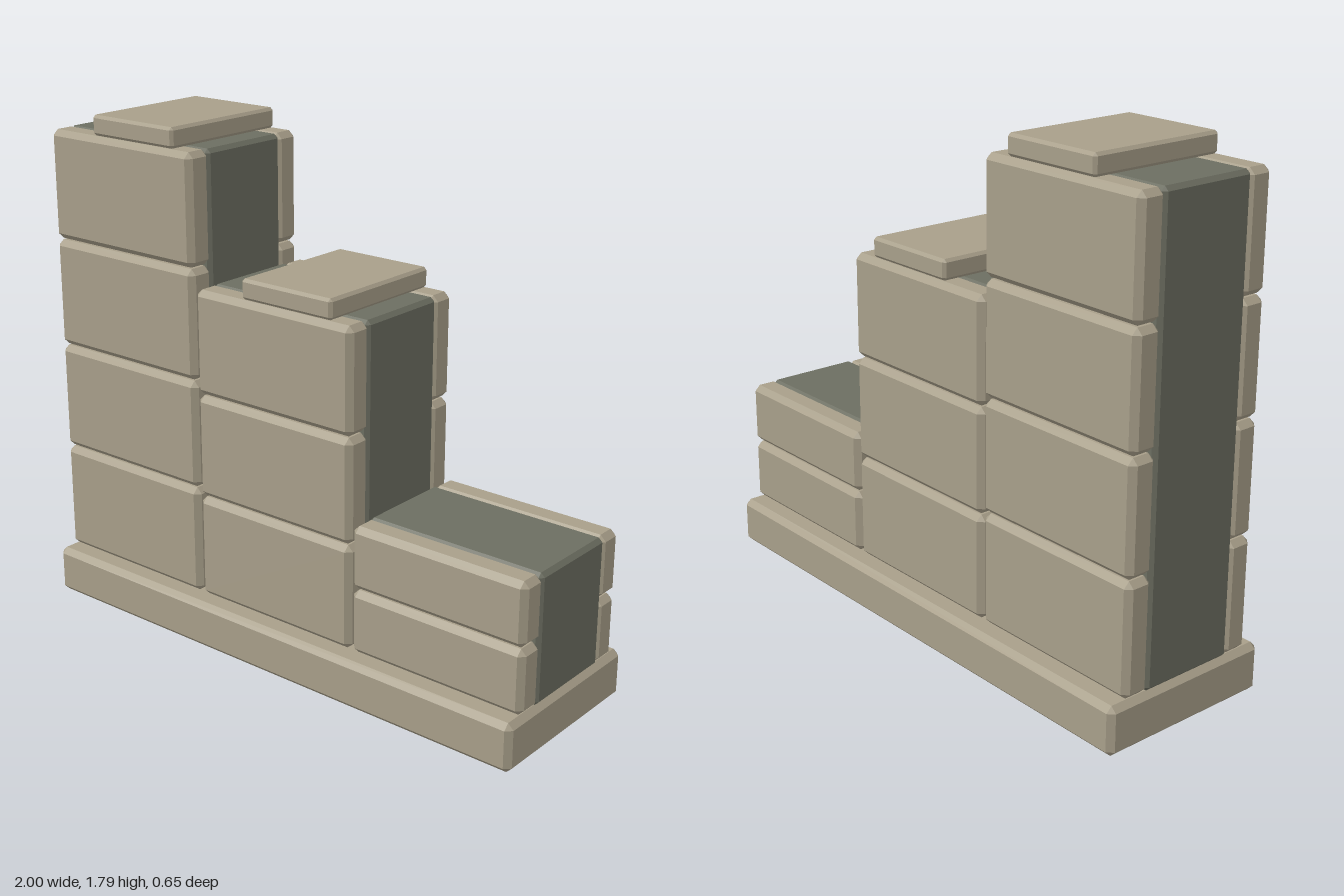
import * as THREE from 'three';
import { ConvexGeometry } from 'three/addons/geometries/ConvexGeometry.js';

// Box with flat chamfers on every edge, built from its 24 corner points
function chamferBox(w, h, d, c) {
  const points = [];
  for (const sx of [-1, 1]) for (const sy of [-1, 1]) for (const sz of [-1, 1]) {
    for (let axis = 0; axis < 3; axis++) {
      const inset = [c, c, c];
      inset[axis] = 0;
      points.push(new THREE.Vector3(
        sx * (w / 2 - inset[0]), sy * (h / 2 - inset[1]), sz * (d / 2 - inset[2])));
    }
  }
  return new ConvexGeometry(points);
}

export function createModel() {
  const model = new THREE.Group();
  model.name = 'steppedWall';
  const stone = new THREE.MeshStandardMaterial({ name: 'sandstone', color: 0xa89f8a });
  const dark = new THREE.MeshStandardMaterial({ name: 'dark stone', color: 0x6c6e61 });

  // y is the underside of the part
  function add(parent, name, material, w, h, d, c, x, y, z) {
    const mesh = new THREE.Mesh(chamferBox(w, h, d, c), material);
    mesh.name = name;
    mesh.position.set(x, y + h / 2, z);
    parent.add(mesh);
  }

  const baseTop = 0.17;
  add(model, 'base', stone, 2, baseTop, 0.65, 0.02, 0, 0, 0);

  // Three stepped columns: dark core faced with stone blocks front and back
  const columns = [
    { name: 'tallColumn', x: -0.666, top: 1.717, rows: 4, cap: -0.612 },
    { name: 'middleColumn', x: 0, top: 1.27, rows: 3, cap: 0.053 },
    { name: 'lowColumn', x: 0.666, top: 0.617, rows: 2 },
  ];
  for (const { name, x, top, rows, cap } of columns) {
    const column = new THREE.Group();
    column.name = name;
    model.add(column);
    add(column, 'core', dark, 0.66, top - baseTop, 0.355, 0.014, x, baseTop, 0);

    const step = (top - baseTop) / rows;
    const gap = 0.005;
    for (let row = 0; row < rows; row++) {
      const y = baseTop + row * step + (row ? gap : 0);
      const h = baseTop + (row + 1) * step - y;
      for (const side of [1, -1]) {
        add(column, side > 0 ? 'frontBlock' : 'backBlock', stone,
          0.66, h, 0.1, 0.02, x, y, side * 0.215);
      }
    }
    // Capstone slab
    if (cap !== undefined) add(column, 'capstone', stone, 0.374, 0.07, 0.5, 0.01, cap, top, 0);
  }
  return model;
}
